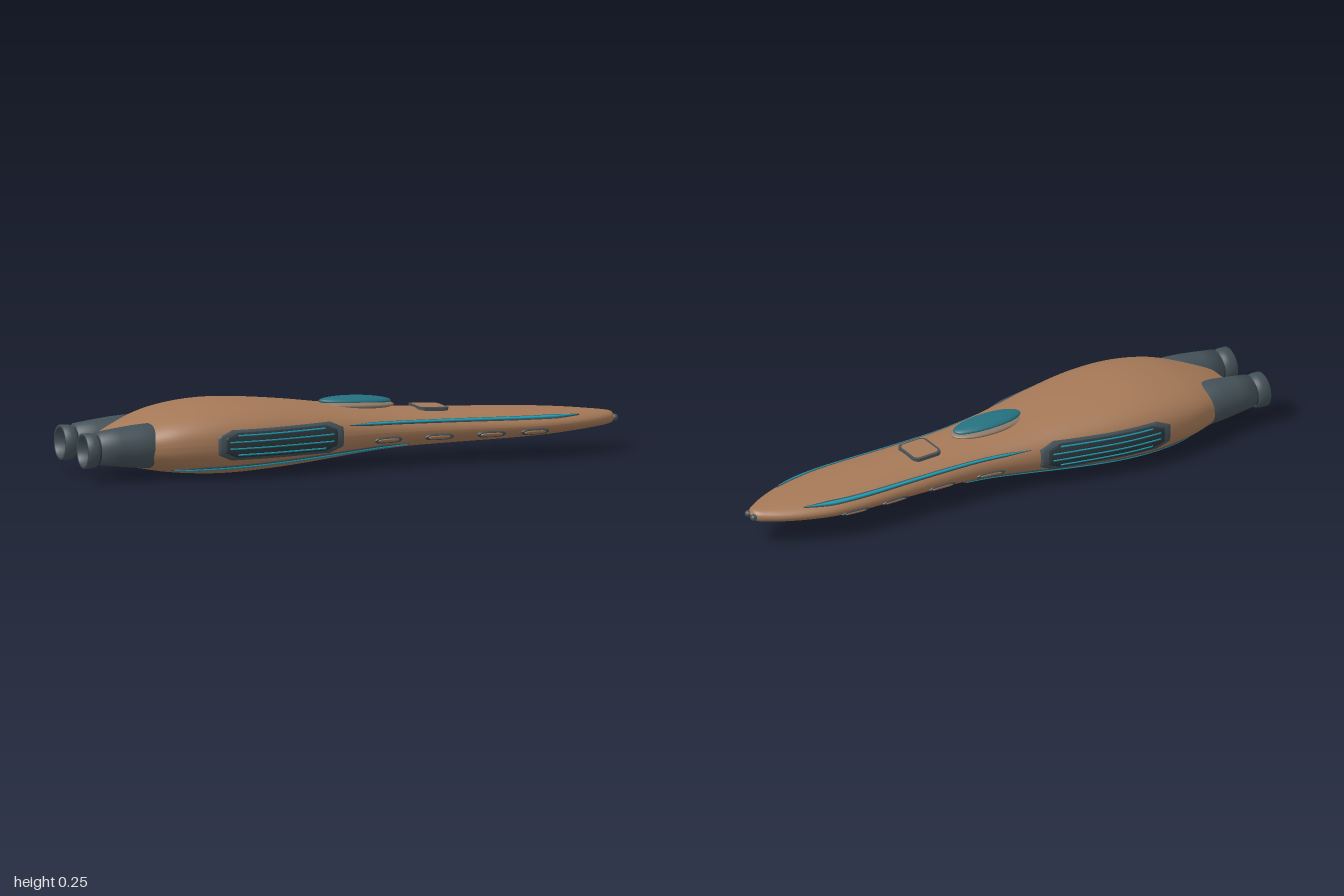
import * as THREE from 'three';

const mat = (name, color) => Object.assign(new THREE.MeshStandardMaterial({ color }), { name });

// Hull stations: x, half width, top, bottom
const STATIONS = [
  [-0.89, 0.09, 0.150, 0.070], [-0.87, 0.115, 0.160, 0.058], [-0.82, 0.155, 0.182, 0.043],
  [-0.76, 0.187, 0.204, 0.028], [-0.68, 0.216, 0.228, 0.014], [-0.58, 0.233, 0.245, 0.004],
  [-0.48, 0.237, 0.251, 0.000], [-0.36, 0.230, 0.246, 0.004], [-0.2, 0.203, 0.231, 0.015],
  [-0.05, 0.173, 0.212, 0.030], [0.1, 0.148, 0.196, 0.045], [0.22, 0.141, 0.186, 0.053],
  [0.4, 0.142, 0.176, 0.058], [0.6, 0.147, 0.166, 0.063], [0.72, 0.139, 0.159, 0.068],
  [0.82, 0.115, 0.151, 0.075], [0.9, 0.081, 0.143, 0.081], [0.95, 0.051, 0.137, 0.086],
  [0.98, 0.027, 0.130, 0.093], [0.99, 0.006, 0.115, 0.108],
];

// Smooth cubic through the stations
function section(x) {
  let i = 0;
  while (i < STATIONS.length - 2 && x > STATIONS[i + 1][0]) i++;
  const a = STATIONS[i], b = STATIONS[i + 1];
  const p = STATIONS[Math.max(i - 1, 0)], q = STATIONS[Math.min(i + 2, STATIONS.length - 1)];
  const d = b[0] - a[0], t = (x - a[0]) / d;
  const [w, top, bot] = [1, 2, 3].map((k) => {
    const m0 = (b[k] - p[k]) / (b[0] - p[0]) * d, m1 = (q[k] - a[k]) / (q[0] - a[0]) * d;
    return a[k] * (2 * t ** 3 - 3 * t * t + 1) + m0 * (t ** 3 - 2 * t * t + t)
      + b[k] * (3 * t * t - 2 * t ** 3) + m1 * (t ** 3 - t * t);
  });
  const n = 2.1 + 0.3 * THREE.MathUtils.smoothstep(-x, -0.2, 0.4);
  return { w, c: (top + bot) / 2, h: (top - bot) / 2, n };
}

// Grid of points: rows x cols, row-major
function gridGeometry(rows, cols, point, flip = false) {
  const pos = [], idx = [];
  for (let i = 0; i < rows; i++) for (let j = 0; j < cols; j++) pos.push(...point(i, j));
  for (let i = 0; i < rows - 1; i++) for (let j = 0; j < cols - 1; j++) {
    const a = i * cols + j, b = a + 1, c = a + cols, d = c + 1;
    idx.push(...(flip ? [a, b, c, b, d, c] : [a, c, b, b, c, d]));
  }
  const g = new THREE.BufferGeometry();
  g.setAttribute('position', new THREE.Float32BufferAttribute(pos, 3));
  g.setIndex(idx);
  g.computeVertexNormals();
  return g;
}

function hullGeometry() {
  const rows = 121, cols = 73;
  return gridGeometry(rows, cols, (i, j) => {
    const x = 0.05 - 0.94 * Math.cos(Math.PI * i / (rows - 1));
    const s = section(x), a = j / (cols - 1) * Math.PI * 2;
    const pw = (v) => Math.sign(v) * Math.abs(v) ** (2 / s.n);
    return [x, s.c + s.h * pw(Math.sin(a)), s.w * pw(Math.cos(a))];
  }, true);
}

// Point on the hull flank at x and y, raised along the surface normal
function flank(x, y, lift, side) {
  const { w, c, h, n } = section(x);
  const v = THREE.MathUtils.clamp((y - c) / h, -0.98, 0.98);
  const u = (1 - Math.abs(v) ** n) ** (1 / n);
  const ny = Math.sign(v) * Math.abs(v) ** (n - 1) / h, nz = u ** (n - 1) / w;
  const l = Math.hypot(ny, nz);
  return [x, y + lift * ny / l, side * (w * u + lift * nz / l)];
}

// Raised strip hugging the flank, with its rim sunk into the hull
function strip(x0, x1, yMid, half, lift, side, rows = 42, cols = 11) {
  return gridGeometry(rows, cols, (i, j) => {
    const edge = i === 0 || j === 0 || i === rows - 1 || j === cols - 1;
    const t = THREE.MathUtils.clamp((i - 1) / (rows - 3), 0, 1);
    const k = THREE.MathUtils.clamp((j - 1) / (cols - 3), 0, 1) * 2 - 1;
    const x = x0 + (x1 - x0) * t;
    return flank(x, yMid(t) + k * half(t), edge ? -0.006 : lift, side);
  }, side < 0);
}

function roundedSlab(w, d, r, height) {
  const s = new THREE.Shape(), x = w / 2, y = d / 2;
  s.absarc(x - r, y - r, r, 0, Math.PI / 2);
  s.absarc(r - x, y - r, r, Math.PI / 2, Math.PI);
  s.absarc(r - x, r - y, r, Math.PI, Math.PI * 1.5);
  s.absarc(x - r, r - y, r, Math.PI * 1.5, Math.PI * 2);
  return new THREE.ExtrudeGeometry(s, { depth: height, bevelEnabled: false, curveSegments: 8 }).rotateX(-Math.PI / 2);
}

// Lathe about the x axis; profile pairs are [distance behind centre, radius]
const turned = (profile) => new THREE.LatheGeometry(profile.map(([b, r]) => new THREE.Vector2(r, b)), 40).rotateZ(Math.PI / 2);

export function createModel() {
  const model = new THREE.Group();
  model.name = 'spaceship';
  const brown = mat('hull brown', 0xa47857), slate = mat('slate metal', 0x435057);
  const dark = mat('dark recess', 0x2b363c), teal = mat('glowing teal', 0x1c9fb4);
  const glass = mat('canopy teal', 0x24707f), rimGrey = mat('canopy rim', 0x8f7967);
  for (const m of [brown, slate, dark, teal]) m.side = THREE.DoubleSide;
  const add = (name, geometry, material, x = 0, y = 0, z = 0) => {
    const m = new THREE.Mesh(geometry, material);
    m.name = name;
    m.position.set(x, y, z);
    model.add(m);
    return m;
  };

  // Hull and flat stern
  add('hull', hullGeometry(), brown);
  const stern = section(-0.89);
  add('stern', new THREE.CircleGeometry(1, 40).rotateY(-Math.PI / 2), brown, -0.89, stern.c)
    .scale.set(1, stern.h, stern.w);

  // Canopy and its rim
  const rim = add('canopyRim', new THREE.SphereGeometry(1, 40, 20), rimGrey, 0.04, 0.204);
  rim.scale.set(0.142, 0.017, 0.066);
  const canopy = add('canopy', new THREE.SphereGeometry(1, 40, 20), glass, 0.04, 0.216);
  canopy.scale.set(0.132, 0.019, 0.05);
  rim.rotation.z = canopy.rotation.z = -0.04;

  // Roof hatch
  add('hatchFrame', roundedSlab(0.112, 0.128, 0.024, 0.016), slate, 0.31, 0.17).rotation.z = -0.05;
  add('hatch', roundedSlab(0.094, 0.11, 0.018, 0.0175), brown, 0.31, 0.17).rotation.z = -0.05;

  for (const side of [1, -1]) {
    const name = side > 0 ? 'left' : 'right';

    // Flank radiator panel with glowing lines
    const taper = (half) => (t) => half * Math.min(1, 0.6 + Math.min(t, 1 - t) * 4);
    const mid = () => 0.122;
    add(name + 'Panel', strip(-0.55, -0.07, mid, taper(0.049), 0.008, side), slate);
    add(name + 'PanelInset', strip(-0.525, -0.095, mid, taper(0.04), 0.0095, side), dark);
    for (const dy of [-0.031, -0.011, 0.011, 0.031]) {
      const trim = Math.abs(dy) > 0.02 ? 0.03 : 0;
      add(name + 'PanelLine', strip(-0.51 + trim, -0.11 - trim, () => 0.122 + dy, () => 0.0022, 0.0115, side, 30, 5), teal);
    }

    // Long light strips above and below
    const upper = (t) => 0.155 - 0.018 * t, lower = (t) => 0.036 + 0.04 * t ** 1.5;
    const pointed = (half) => (t) => half * Math.min(1, 0.15 + Math.min(t, 1 - t) * 8);
    add(name + 'UpperTrim', strip(-0.04, 0.83, upper, pointed(0.005), 0.003, side, 60, 5), slate);
    add(name + 'UpperLight', strip(-0.03, 0.82, upper, pointed(0.0028), 0.005, side, 60, 5), teal);
    add(name + 'LowerTrim', strip(-0.69, 0.2, lower, pointed(0.006), 0.004, side, 60, 5), slate);
    add(name + 'LowerLight', strip(-0.68, 0.19, lower, pointed(0.003), 0.006, side, 60, 5), teal);

    // Oval ports along the forward flank
    for (const x of [0.11, 0.3, 0.49, 0.65]) {
      const oval = (half) => (t) => half * Math.sqrt(Math.max(0.02, 1 - (2 * t - 1) ** 4));
      add(name + 'PortRim', strip(x - 0.052, x + 0.052, () => 0.096, oval(0.01), 0.004, side, 20, 6), slate);
      add(name + 'Port', strip(x - 0.04, x + 0.04, () => 0.096, oval(0.0055), 0.0055, side, 20, 6), brown);
    }

    // Engine housing, hollow nozzle and its inner plate
    const z = side * 0.109;
    add(name + 'Engine', turned([[0.7, 0.055], [0.76, 0.077], [0.82, 0.073], [0.88, 0.066], [0.948, 0.057], [0.95, 0.0]]), slate, 0, 0.118, z);
    add(name + 'Neck', turned([[0.94, 0.05], [0.96, 0.05]]), dark, 0, 0.112, z);
    add(name + 'Nozzle', turned([[0.955, 0.052], [0.96, 0.058], [0.975, 0.061], [1.0, 0.061], [1.0, 0.05], [0.965, 0.044]]), slate, 0, 0.111, z);
    add(name + 'NozzlePlate', new THREE.CircleGeometry(0.046, 32).rotateY(-Math.PI / 2), dark, -0.965, 0.111, z);

    // Nose sensor
    add(name + 'Sensor', new THREE.SphereGeometry(0.012, 20, 14), slate, 0.988, 0.11, side * 0.018);
  }
  return model;
}
